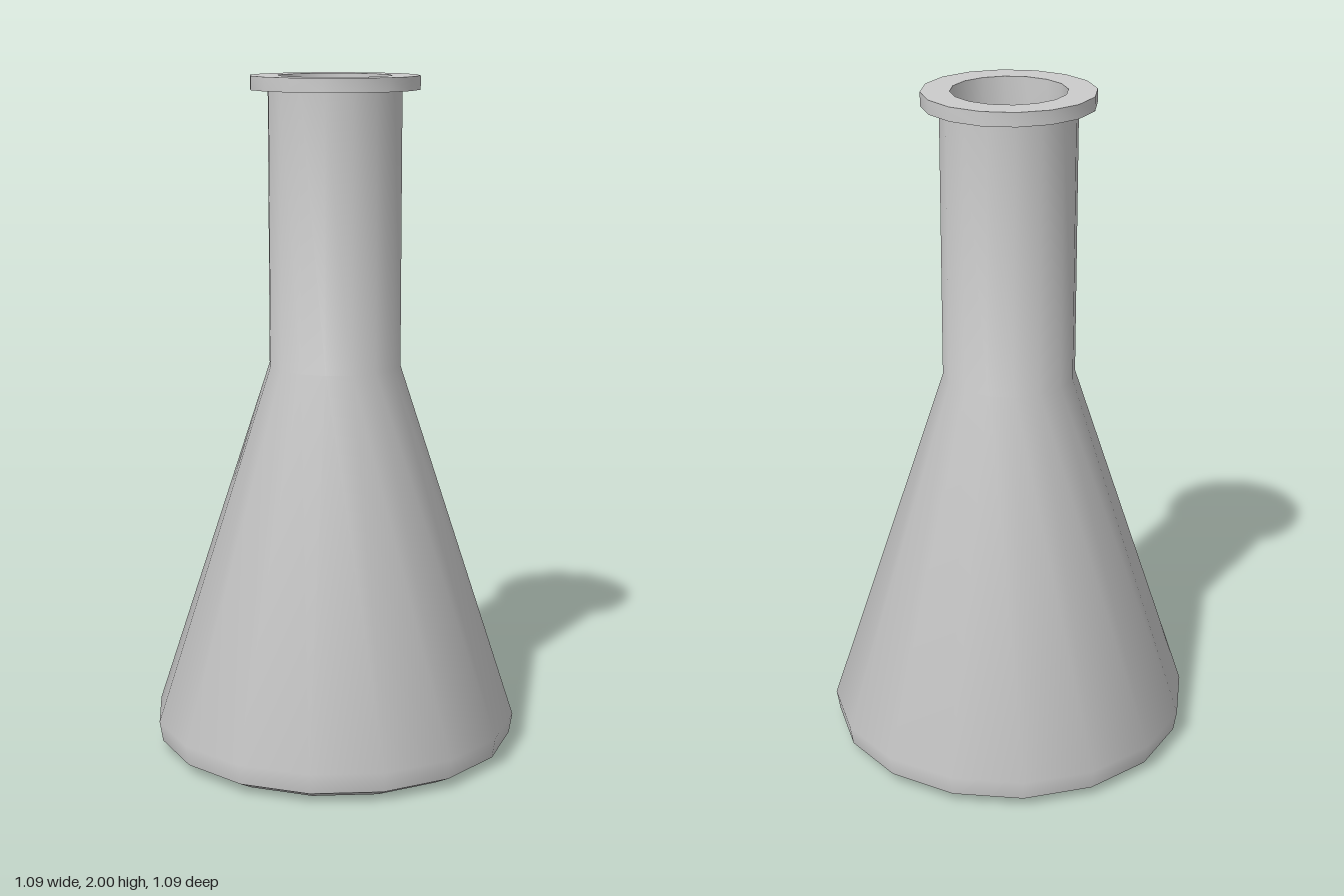
import * as THREE from 'three';
import { toCreasedNormals } from 'three/addons/utils/BufferGeometryUtils.js';

const SIDES = 16;

// Revolves an [r, y] profile, keeping strong bends sharp
function turned(name, profile, color) {
  const points = profile.map(([r, y]) => new THREE.Vector2(r, y));
  const geometry = toCreasedNormals(new THREE.LatheGeometry(points, SIDES), 0.7);
  const mesh = new THREE.Mesh(geometry, new THREE.MeshStandardMaterial({ color }));
  mesh.name = name;
  return mesh;
}

export function createModel() {
  const flask = new THREE.Group();
  flask.name = 'conicalFlask';

  // Glass: base, cone, neck and lip outside, then back down the inner wall
  flask.add(turned('glass', [
    [0, 0], [0.48, 0], [0.535, 0.03], [0.545, 0.09],
    [0.195, 1.16], [0.195, 1.96], [0.247, 1.96], [0.247, 2],
    [0.165, 2], [0.165, 1.15], [0.51, 0.09], [0.46, 0.04], [0, 0.04],
  ], 0xcccccc));

  // Liquid: fills the lower cone just inside the inner wall
  flask.add(turned('liquid', [
    [0, 0.043], [0.457, 0.043], [0.506, 0.09], [0.342, 0.6], [0, 0.6],
  ], 0x3ad474));

  return flask;
}
